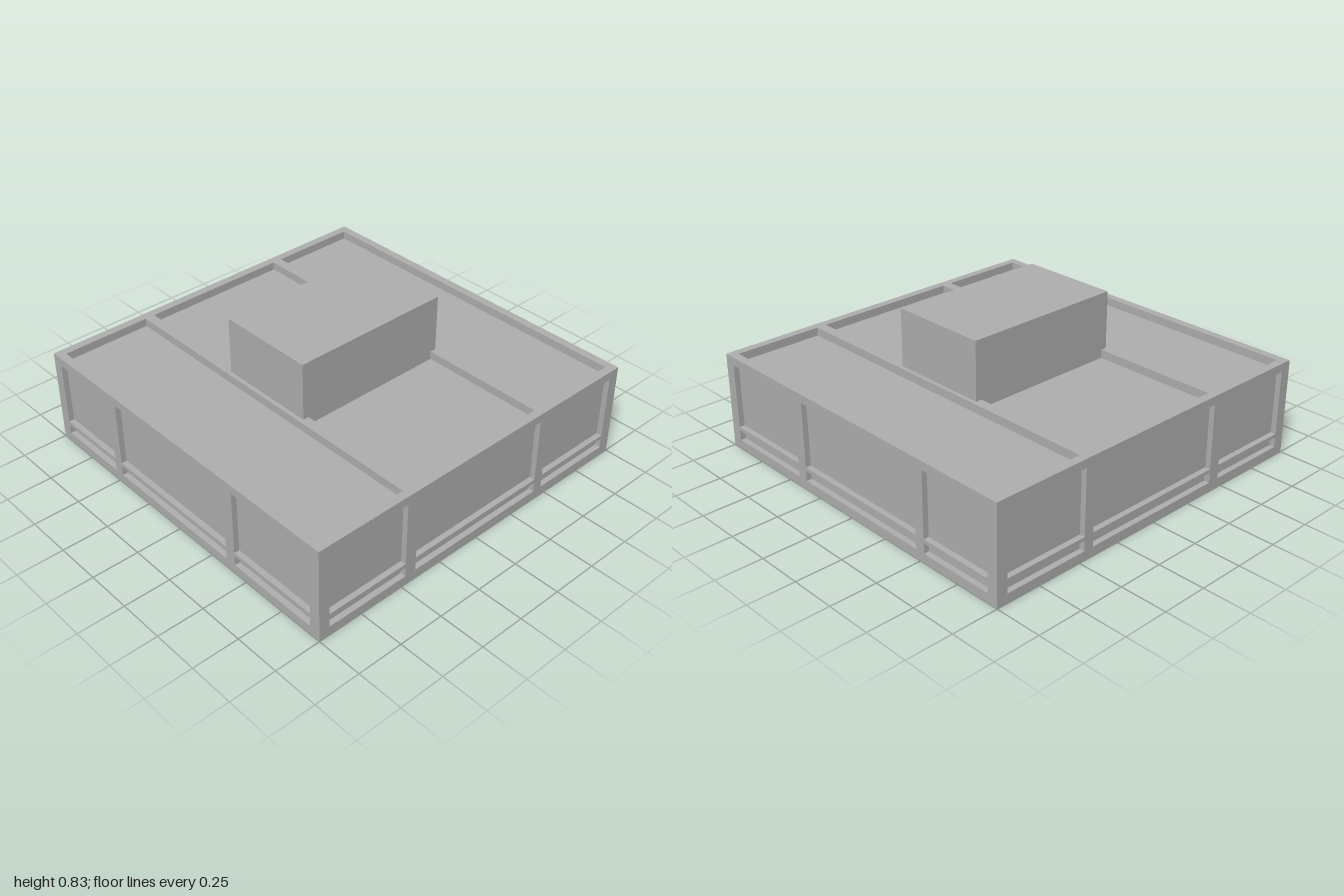
import * as THREE from 'three';

const HEIGHT = 0.52;   // height of the framed base
const SIDE = 0.03;     // recess of the side panels
const DECK = 0.045;    // recess of the top and bottom panels

// Flat plate with rectangular openings, given as [x0, x1] and [y0, y1] ranges
function frameGeometry(w0, w1, h0, h1, columns, rows, depth) {
  const corners = (x0, x1, y0, y1) => [
    new THREE.Vector2(x0, y0), new THREE.Vector2(x1, y0),
    new THREE.Vector2(x1, y1), new THREE.Vector2(x0, y1),
  ];
  const shape = new THREE.Shape(corners(w0, w1, h0, h1));
  for (const [x0, x1] of columns) {
    for (const [y0, y1] of rows) {
      shape.holes.push(new THREE.Path(corners(x0, x1, y0, y1).reverse()));
    }
  }
  return new THREE.ExtrudeGeometry(shape, { depth, bevelEnabled: false });
}

export function createModel() {
  const model = new THREE.Group();
  const grey = new THREE.MeshStandardMaterial({ color: 0xb0b0b0 });
  grey.name = 'grey';

  const add = (name, geometry) => {
    const mesh = new THREE.Mesh(geometry, grey);
    mesh.name = name;
    model.add(mesh);
    return mesh;
  };

  const inner = 1 - SIDE;
  const rows = [[0.05, 0.105], [0.125, 0.475]];
  const frontColumns = [[-0.94, -0.525], [-0.47, 0.36], [0.42, 0.94]];
  const sideColumns = [[-0.94, -0.475], [-0.41, 0.415], [0.47, 0.94]];

  // Recessed panels on all six sides
  add('innerPanels', new THREE.BoxGeometry(2 * inner, HEIGHT - 2 * DECK, 2 * inner))
    .position.y = HEIGHT / 2;

  // Front and back frames share the same post positions
  const front = frameGeometry(-1, 1, 0, HEIGHT, frontColumns, rows, SIDE);
  add('frontFrame', front).position.z = inner;
  add('backFrame', front).position.z = -1;

  // Side frames fit between the front and back frames
  const side = frameGeometry(-inner, inner, 0, HEIGHT, sideColumns, rows, SIDE);
  side.rotateY(Math.PI / 2);
  // Posts sit at mirrored z after the turn
  side.rotateX(0);
  add('leftFrame', side).position.x = inner;
  add('rightFrame', side).position.x = -1;

  // Top frame with two rails running across
  const top = frameGeometry(-inner, inner, -inner, inner, [[-0.955, 0.955]],
    [[-0.955, -0.465], [-0.41, 0.415], [0.47, 0.955]], DECK);
  top.rotateX(-Math.PI / 2);
  add('topFrame', top).position.y = HEIGHT - DECK;

  // Bottom frame with two rails running front to back
  const bottom = frameGeometry(-inner, inner, -inner, inner,
    [[-0.955, -0.525], [-0.47, 0.36], [0.42, 0.955]], [[-0.955, 0.955]], DECK);
  bottom.rotateX(-Math.PI / 2);
  add('bottomFrame', bottom);

  // Block standing on the top panel
  const blockBase = HEIGHT - DECK;
  const blockHeight = 0.83 - blockBase;
  add('topBlock', new THREE.BoxGeometry(0.54, blockHeight, 0.89))
    .position.set(0.002, blockBase + blockHeight / 2, -0.003);

  return model;
}
